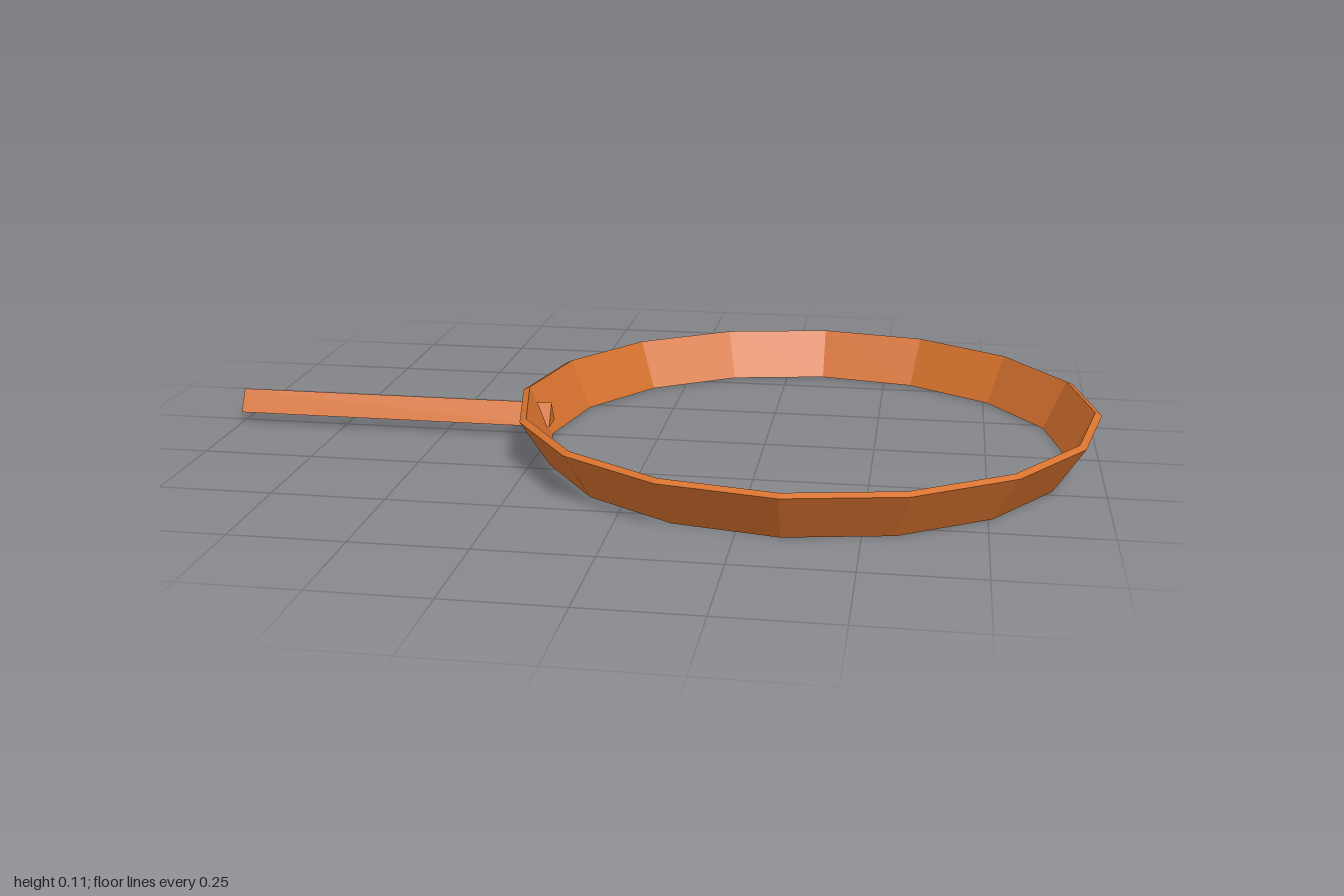
import * as THREE from 'three';

export function createModel() {
  const model = new THREE.Group();
  model.name = 'pan';
  const material = new THREE.MeshStandardMaterial({ color: 0xd8722e, flatShading: true });

  const add = (name, geometry, x, y, z) => {
    const mesh = new THREE.Mesh(geometry, material);
    mesh.name = name;
    mesh.position.set(x, y, z);
    model.add(mesh);
  };

  // Open, flared 16-sided wall: outer face, bevelled rim, inner face down to a sharp lower edge
  const profile = [
    [0.591, 0],
    [0.658, 0.105],
    [0.643, 0.112],
    [0.591, 0],
  ].map(([r, y]) => new THREE.Vector2(r, y));
  add('panWall', new THREE.LatheGeometry(profile, 16), 0.342, 0, 0);

  // Three-sided handle with its ridge on top, its end poking through the wall
  const handle = new THREE.CylinderGeometry(0.0335, 0.0335, 0.75, 3, 1, false, Math.PI / 2);
  handle.rotateZ(Math.PI / 2);
  add('handle', handle, -0.625, 0.0428, 0);

  return model;
}
